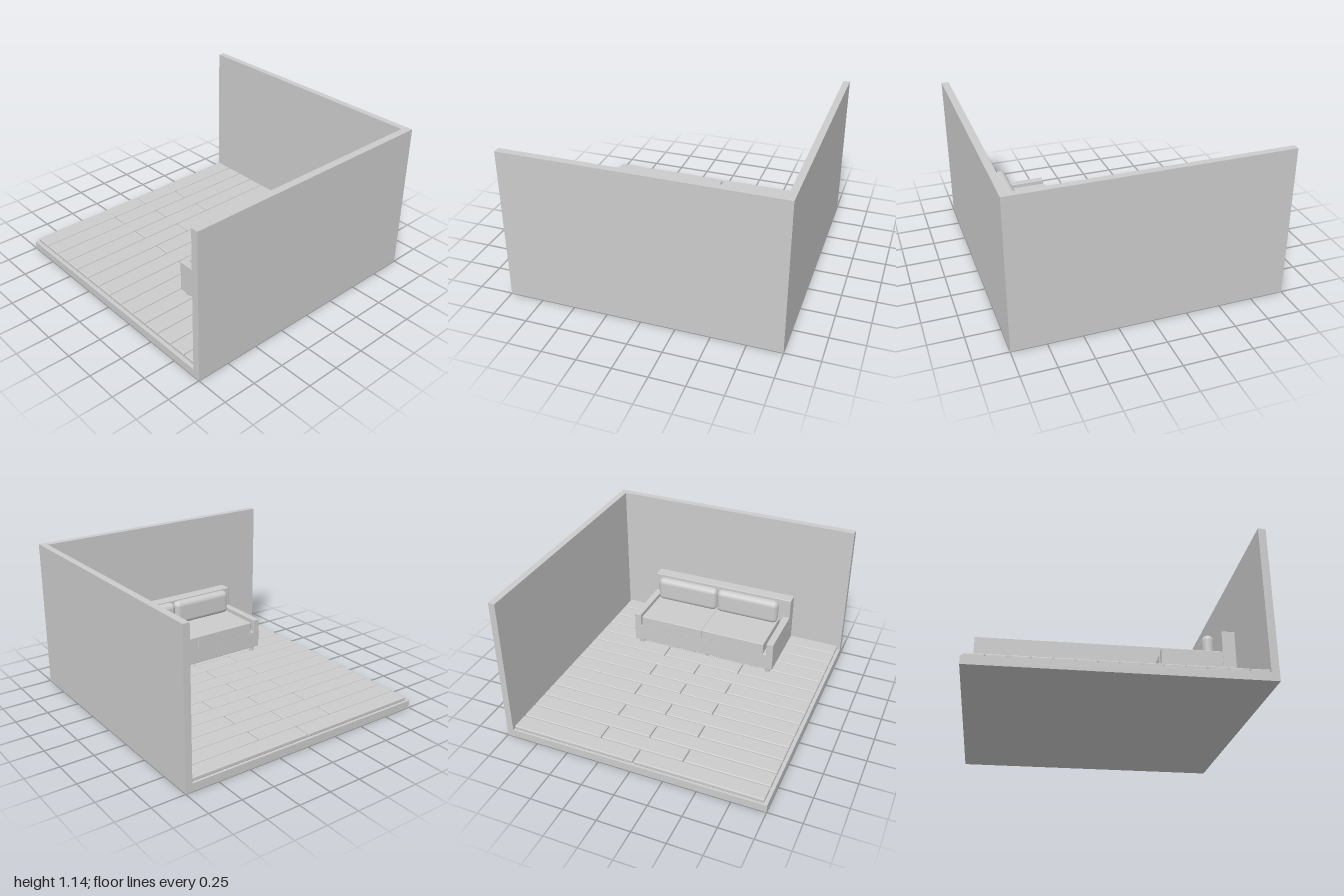
import * as THREE from 'three';
import { RoundedBoxGeometry } from 'three/addons/geometries/RoundedBoxGeometry.js';

const material = new THREE.MeshStandardMaterial({ color: 0xcccccc });

// Box given by its min and max on each axis; a radius rounds the edges
function box(parent, name, [x0, x1], [y0, y1], [z0, z1], radius = 0, segments = 2) {
  const size = [x1 - x0, y1 - y0, z1 - z0];
  const geometry = radius
    ? new RoundedBoxGeometry(...size, segments, radius)
    : new THREE.BoxGeometry(...size);
  const mesh = new THREE.Mesh(geometry, material);
  mesh.name = name;
  mesh.position.set((x0 + x1) / 2, (y0 + y1) / 2, (z0 + z1) / 2);
  parent.add(mesh);
  return mesh;
}

function createRoom() {
  const room = new THREE.Group();
  room.name = 'room';
  box(room, 'floorSlab', [-1, 1], [0, 0.06], [-1, 1]);
  box(room, 'backWall', [-1, 1], [0, 1.14], [-1, -0.95]);
  box(room, 'sideWall', [0.945, 1], [0, 1.14], [-0.95, 1]);
  return room;
}

// Fourteen rows of boards, alternating two and three boards per row
function createFloorboards() {
  const boards = new THREE.Group();
  boards.name = 'floorboards';
  const rows = 14, pitch = 0.139, gap = 0.006, zStart = -0.948, zEnd = 0.978;
  for (let i = 0; i < rows; i++) {
    const x = -0.985 + i * pitch;
    const count = i % 2 ? 3 : 2;
    const length = (zEnd - zStart) / count;
    for (let j = 0; j < count; j++) {
      const z = zStart + j * length;
      box(boards, 'floorboard', [x, x + pitch - gap], [0.06, 0.09],
        [z + gap / 2, z + length - gap / 2], 0.008);
    }
  }
  return boards;
}

// Two-seat sofa with its back to the side wall
function createSofa() {
  const sofa = new THREE.Group();
  sofa.name = 'sofa';
  const front = 0.328, back = 0.855, end = 0.595, edge = 0.005;
  box(sofa, 'base', [front, back], [0.145, 0.28], [-end, end], edge);
  box(sofa, 'backrest', [0.76, back], [0.145, 0.54], [-end, end], edge);

  for (const side of [-1, 1]) {
    const inner = side * 0.54, outer = side * end;
    box(sofa, 'arm', [front, 0.762], [0.145, 0.385],
      [Math.min(inner, outer), Math.max(inner, outer)], edge);

    // Seat cushion and upright pillow
    const span = side < 0 ? [-0.53, -0.008] : [-0.008, 0.514];
    box(sofa, 'seatCushion', [front, 0.76], [0.275, 0.37], span, edge);
    box(sofa, 'pillow', [0.647, 0.733], [0.36, 0.556], span, 0.042, 5);

    for (const x of [0.368, 0.798]) {
      const leg = new THREE.Mesh(new THREE.CylinderGeometry(0.021, 0.021, 0.045, 16), material);
      leg.name = 'leg';
      leg.position.set(x, 0.1275, side * 0.55);
      sofa.add(leg);
    }
  }
  return sofa;
}

export function createModel() {
  const model = new THREE.Group();
  model.name = 'livingRoomCorner';
  model.add(createRoom(), createFloorboards(), createSofa());
  return model;
}
